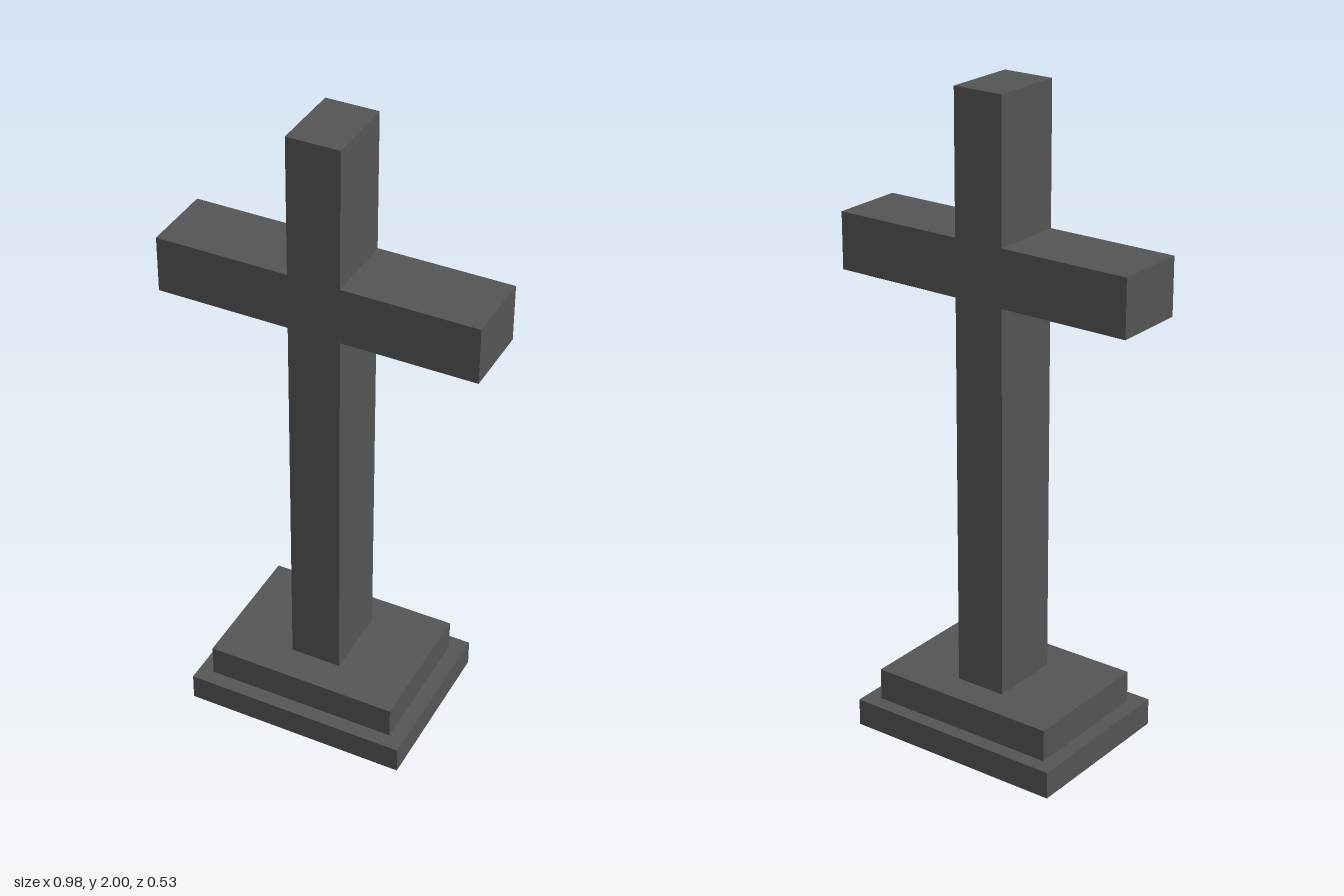
import * as THREE from 'three';

const material = new THREE.MeshStandardMaterial({ color: 0x555555, flatShading: true });

// Box given by its extents along each axis
function block(name, [x0, x1], [y0, y1], [z0, z1]) {
  const mesh = new THREE.Mesh(new THREE.BoxGeometry(x1 - x0, y1 - y0, z1 - z0), material);
  mesh.position.set((x0 + x1) / 2, (y0 + y1) / 2, (z0 + z1) / 2);
  mesh.name = name;
  return mesh;
}

export function createModel() {
  const model = new THREE.Group();
  model.name = 'standingCross';

  // Two-step plinth
  model.add(block('lowerStep', [-0.352, 0.352], [0, 0.085], [-0.265, 0.263]));
  model.add(block('upperStep', [-0.305, 0.303], [0.085, 0.185], [-0.219, 0.216]));

  // Post and crossbar cut as one solid outline
  const left = -0.082, right = 0.079, arm = 0.492;
  const base = 0.185, armBottom = 1.397, armTop = 1.572, top = 2;
  const outline = new THREE.Shape([
    [left, base], [right, base], [right, armBottom], [arm, armBottom],
    [arm, armTop], [right, armTop], [right, top], [left, top],
    [left, armTop], [-arm, armTop], [-arm, armBottom], [left, armBottom],
  ].map(([x, y]) => new THREE.Vector2(x, y)));
  const cross = new THREE.Mesh(
    new THREE.ExtrudeGeometry(outline, { depth: 0.23, bevelEnabled: false }), material);
  cross.position.z = -0.121;
  cross.name = 'cross';
  model.add(cross);

  return model;
}
